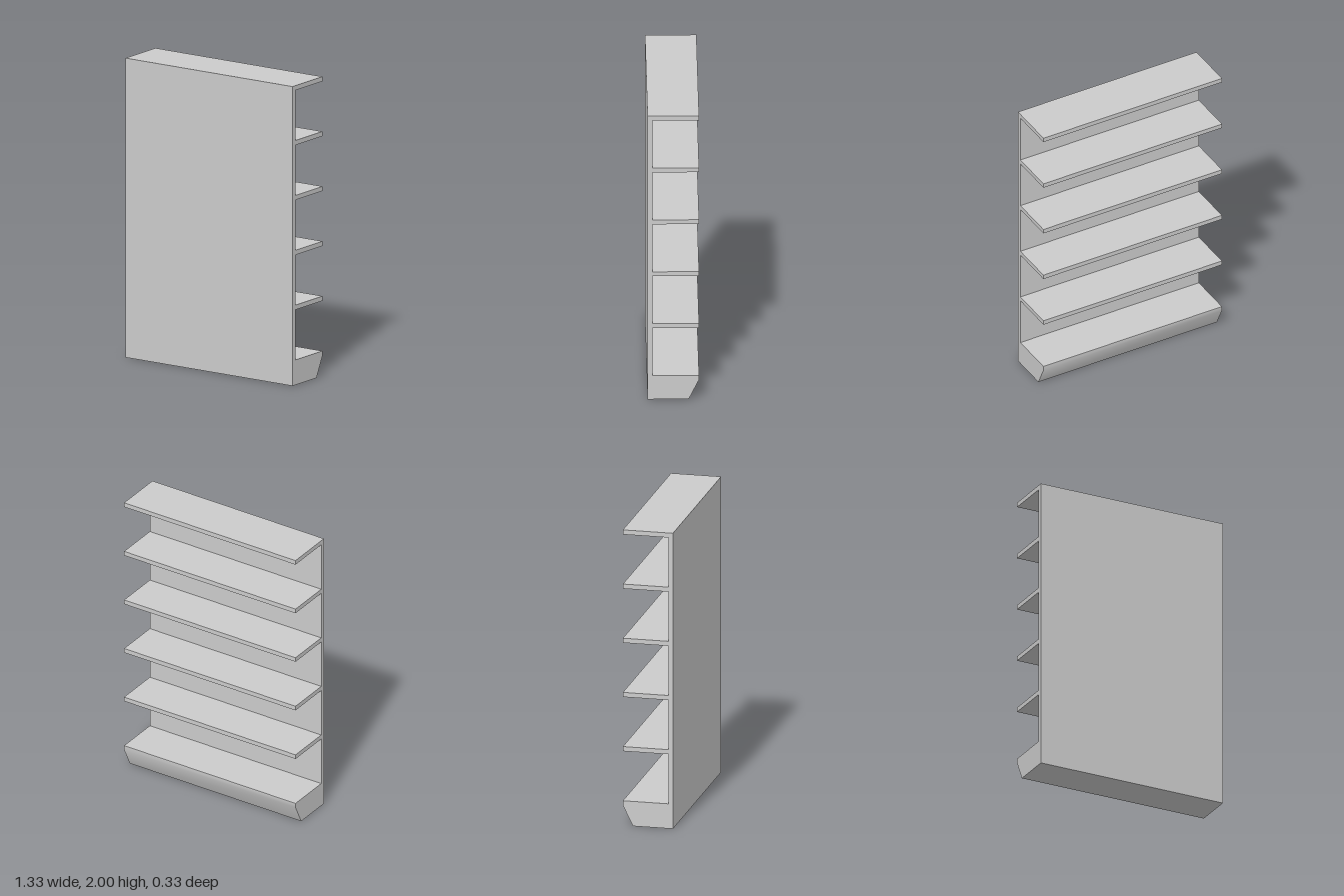
import * as THREE from 'three';
import { toCreasedNormals } from 'three/addons/utils/BufferGeometryUtils.js';

const WIDTH = 1.333, HEIGHT = 2, BACK = 0.167, FRONT = -0.167, BOARD = 0.031;
const BASE_TOP = 0.167, SHELVES = 5;

export function createModel() {
  const group = new THREE.Group();
  const material = new THREE.MeshStandardMaterial({ color: 0xcccccc });

  const add = (name, geometry, y = 0, z = 0) => {
    const mesh = new THREE.Mesh(geometry, material);
    mesh.name = name;
    mesh.position.set(0, y, z);
    group.add(mesh);
  };

  // Upright panel closing the +z side
  const panelZ = BACK - BOARD;
  add('panel', new THREE.BoxGeometry(WIDTH, HEIGHT, BOARD), HEIGHT / 2, BACK - BOARD / 2);

  // Evenly spaced shelves reaching out towards -z
  const depth = panelZ - FRONT;
  const pitch = (HEIGHT - BASE_TOP) / SHELVES;
  const shelf = new THREE.BoxGeometry(WIDTH, BOARD, depth);
  for (let i = 1; i <= SHELVES; i++) {
    add(`shelf${i}`, shelf, BASE_TOP + i * pitch - BOARD / 2, FRONT + depth / 2);
  }

  // Solid base with a slanted kick face, profile in (z, y) swept along x
  const profile = new THREE.Shape([
    [panelZ, 0], [panelZ, BASE_TOP], [FRONT, BASE_TOP], [FRONT, BASE_TOP - BOARD], [-0.1, 0],
  ].map(([z, y]) => new THREE.Vector2(z, y)));
  const base = new THREE.ExtrudeGeometry(profile, { depth: WIDTH, bevelEnabled: false });
  base.translate(0, 0, -WIDTH / 2).rotateY(-Math.PI / 2);
  add('base', toCreasedNormals(base, 0.6));

  return group;
}
